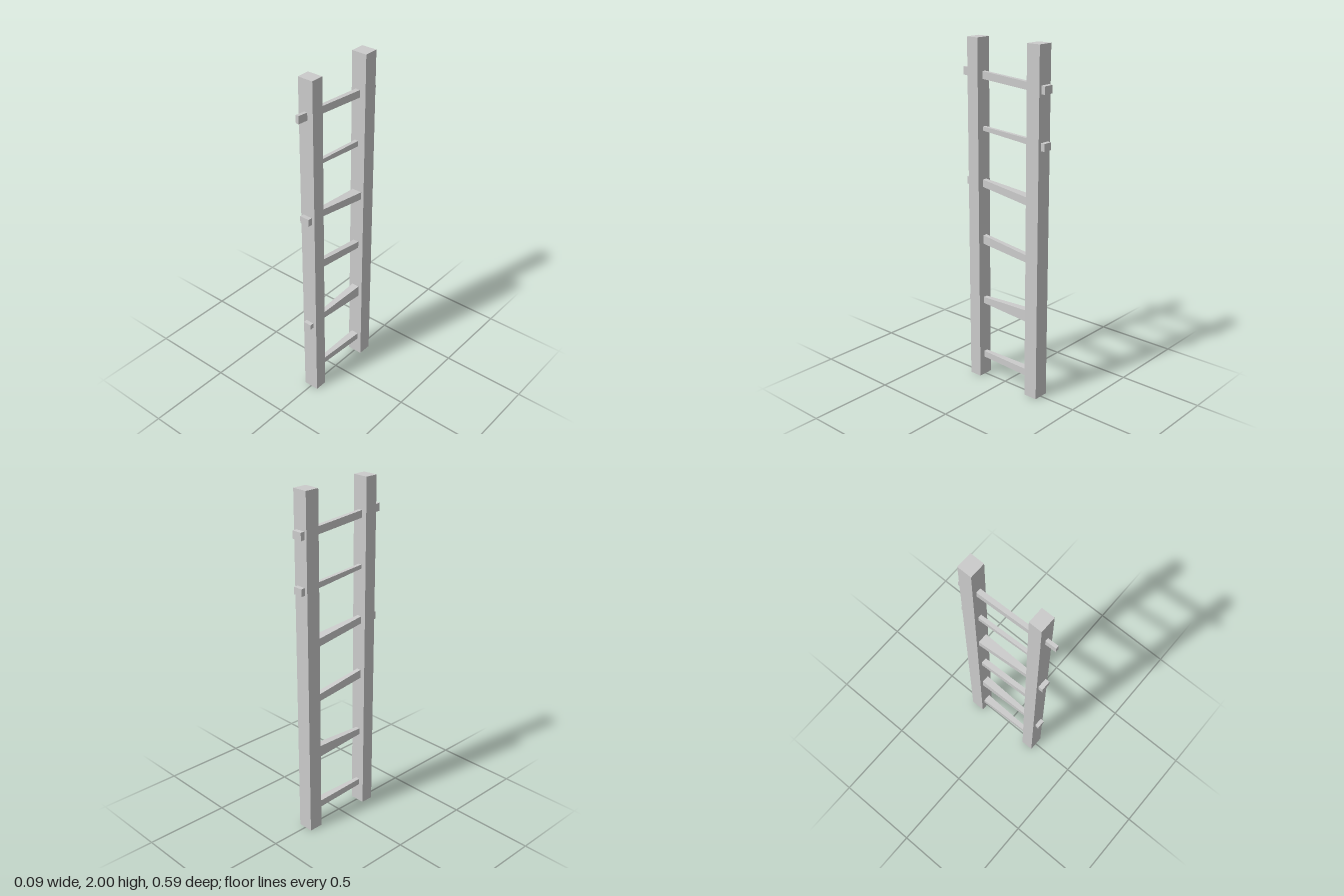
import * as THREE from 'three';

const material = new THREE.MeshStandardMaterial({ color: 0xcccccc, flatShading: true });

// Bar running along z between two rectangular ends, each [z, xMin, xMax, yMin, yMax]
function taperedBar(name, front, back) {
  const geometry = new THREE.BoxGeometry(1, 1, 1);
  const p = geometry.attributes.position;
  for (let i = 0; i < p.count; i++) {
    const [z, x0, x1, y0, y1] = p.getZ(i) > 0 ? front : back;
    p.setXYZ(i, p.getX(i) > 0 ? x1 : x0, p.getY(i) > 0 ? y1 : y0, z);
  }
  geometry.computeVertexNormals();
  const mesh = new THREE.Mesh(geometry, material);
  mesh.name = name;
  return mesh;
}

// Upright square rail
function rail(name, zMin, zMax) {
  const mesh = new THREE.Mesh(new THREE.BoxGeometry(0.092, 2, zMax - zMin), material);
  mesh.position.set(0, 1, (zMin + zMax) / 2);
  mesh.name = name;
  return mesh;
}

export function createModel() {
  const ladder = new THREE.Group();
  ladder.name = 'ladder';
  const FRONT = 0.156, BACK = -0.187; // inner faces of the rails

  ladder.add(rail('frontRail', FRONT, 0.231), rail('backRail', -0.271, BACK));

  // Hand-hewn rungs: [xMin, xMax, yMin, yMax] where they meet each rail
  const rungs = [
    { front: [-0.015, 0.010, 0.114, 0.151], back: [-0.024, 0.022, 0.106, 0.148] },
    { front: [-0.015, 0.011, 0.463, 0.500], back: [-0.024, 0.022, 0.444, 0.514] },
    { front: [-0.016, 0.010, 0.831, 0.882], back: [-0.020, 0.015, 0.794, 0.836] },
    { front: [-0.017, 0.011, 1.170, 1.212], back: [-0.031, 0.030, 1.131, 1.177] },
    { front: [-0.014, 0.007, 1.491, 1.514], back: [-0.020, 0.002, 1.458, 1.492] },
    { front: [-0.015, 0.008, 1.776, 1.818], back: [-0.020, 0.009, 1.750, 1.793] },
  ];
  for (const { front, back } of rungs) {
    ladder.add(taperedBar('rung', [FRONT + 0.004, ...front], [BACK - 0.004, ...back]));
  }

  // Tenon ends poking out through the rails
  const tenons = [
    { name: 'frontTenon', front: [0.255, -0.025, 0.025, 0.465, 0.497], back: [0.22, -0.025, 0.025, 0.465, 0.497] },
    { name: 'frontTenon', front: [0.258, -0.030, 0.028, 1.174, 1.217], back: [0.22, -0.030, 0.028, 1.171, 1.214] },
    { name: 'frontTenon', front: [0.295, -0.009, 0.010, 1.785, 1.830], back: [0.22, -0.009, 0.010, 1.780, 1.823] },
    { name: 'backTenon', front: [-0.26, -0.028, 0.028, 1.449, 1.491], back: [-0.295, -0.028, 0.028, 1.448, 1.490] },
    { name: 'backTenon', front: [-0.26, -0.031, 0.030, 1.748, 1.792], back: [-0.295, -0.031, 0.030, 1.746, 1.790] },
  ];
  for (const { name, front, back } of tenons) ladder.add(taperedBar(name, front, back));

  return ladder;
}
